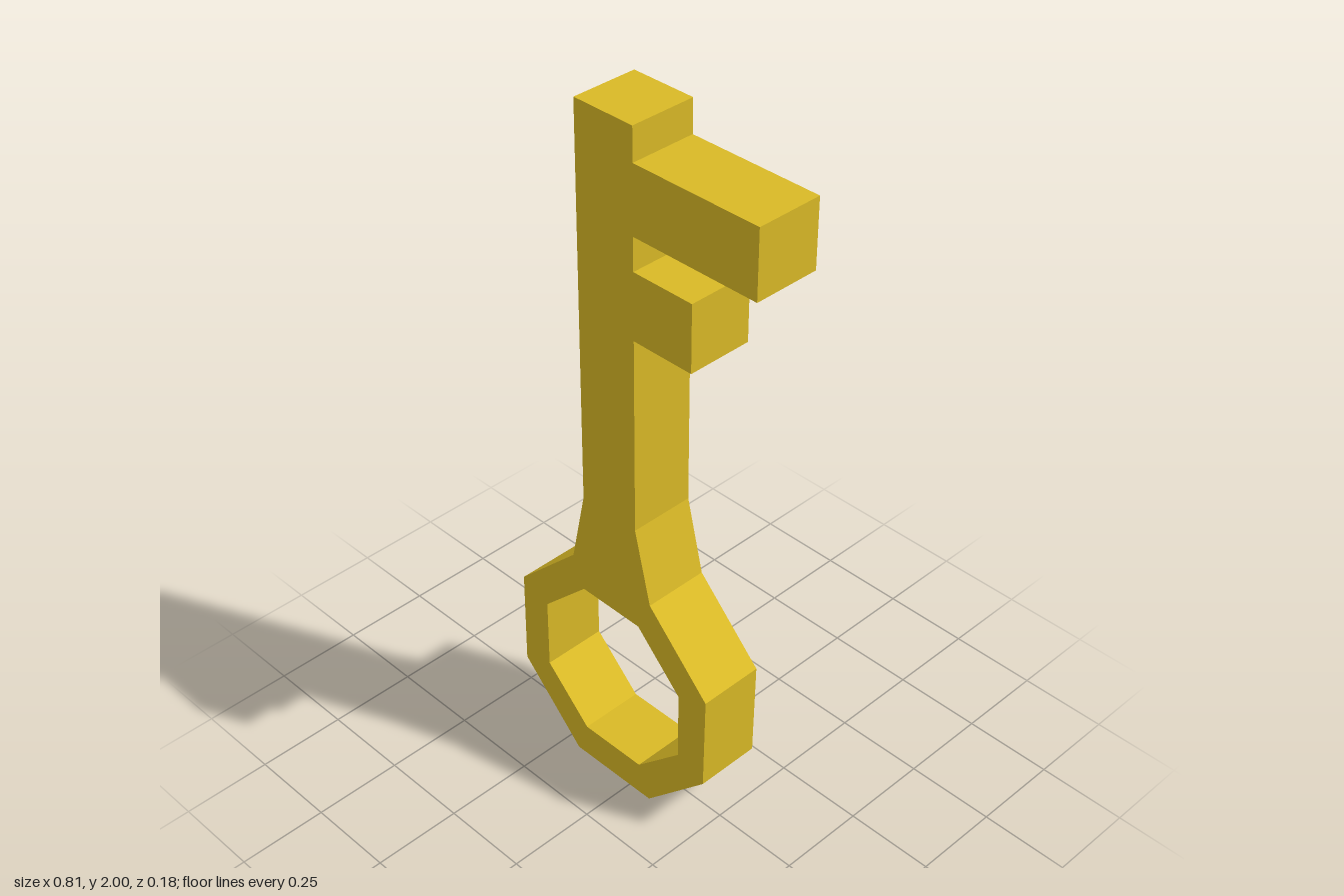
import * as THREE from 'three';

const DEPTH = 0.184;
const toPoints = (pairs) => pairs.map(([x, y]) => new THREE.Vector2(x, y));

export function createModel() {
  const group = new THREE.Group();
  group.name = 'key';

  const outline = new THREE.Shape(toPoints([
    // bottom and right side of the octagonal bow, then the tapered collar
    [-0.2, 0], [0.075, 0], [0.273, 0.2], [0.277, 0.485], [0.079, 0.685], [0.028, 0.895],
    // short tooth
    [0.028, 1.45], [0.212, 1.45], [0.212, 1.635], [0.028, 1.635],
    // long tooth
    [0.028, 1.726], [0.403, 1.726], [0.403, 1.91], [0.028, 1.91],
    // shaft tip and left side of the shaft
    [0.028, 2], [-0.156, 2], [-0.156, 0.895],
    // left side of the collar and bow
    [-0.2, 0.685], [-0.401, 0.49], [-0.403, 0.203],
  ]));

  // octagonal opening of the bow
  outline.holes.push(new THREE.Path(toPoints([
    [-0.165, 0.1], [-0.31, 0.24], [-0.31, 0.45], [-0.163, 0.593],
    [0.037, 0.59], [0.182, 0.445], [0.182, 0.24], [0.037, 0.1],
  ])));

  const geometry = new THREE.ExtrudeGeometry(outline, { depth: DEPTH, bevelEnabled: false });
  geometry.translate(0, 0, -DEPTH / 2);

  const material = new THREE.MeshStandardMaterial({ color: 0xd9b926, flatShading: true });
  const body = new THREE.Mesh(geometry, material);
  body.name = 'keyBody';
  group.add(body);
  return group;
}
